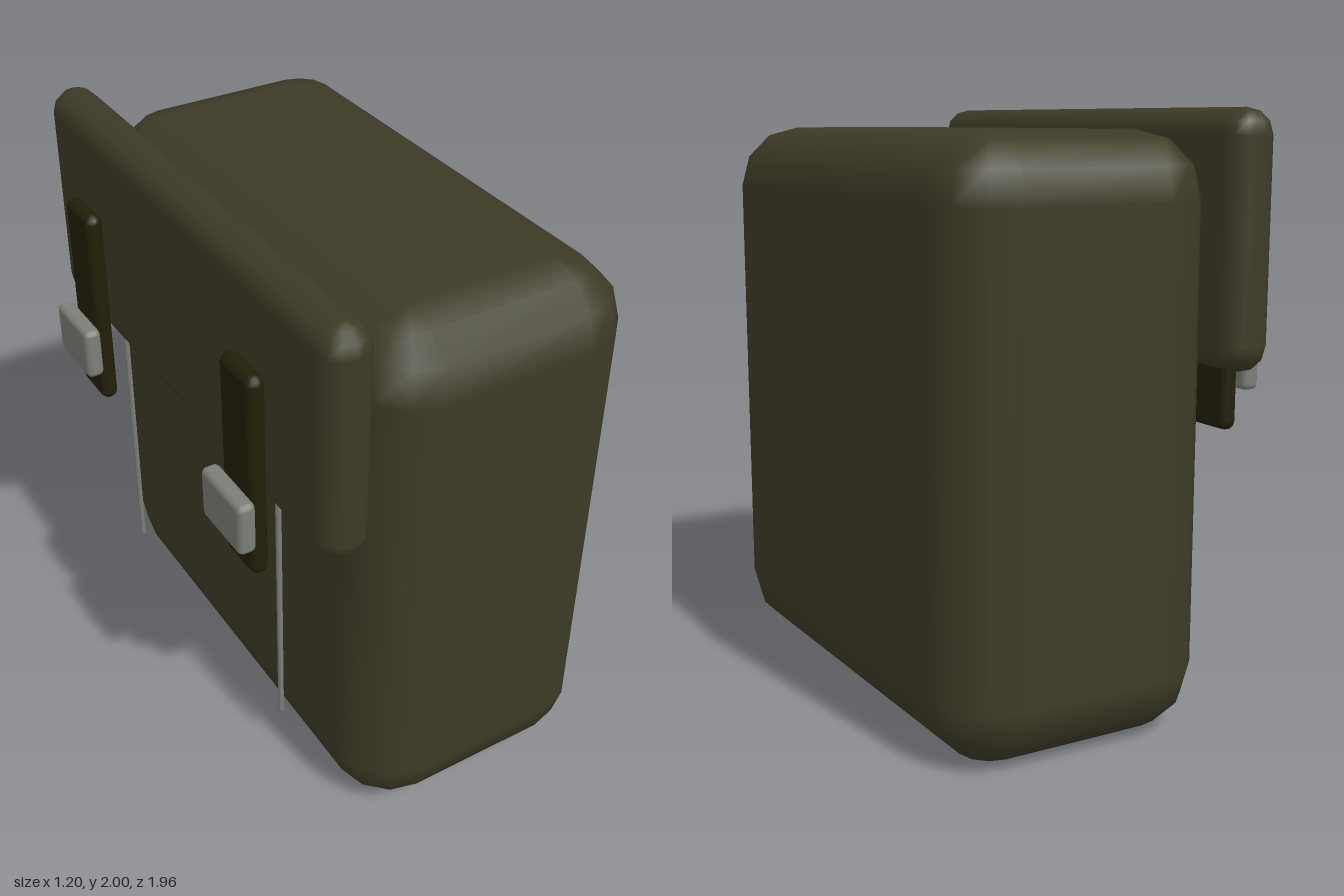
import * as THREE from 'three';

const STEPS = 3; // bevel segments per quarter turn

// Box with evenly rounded edges, given by its min and max corners
function bevelBox(min, max, r) {
  const pos = [], nor = [], idx = [];
  const mid = min.map((v, i) => (v + max[i]) / 2);
  const core = min.map((v, i) => (max[i] - v) / 2 - r);
  const cols = 4 * (STEPS + 1), rows = 2 * (STEPS + 1);
  for (let j = 0; j < rows; j++) {
    const top = j > STEPS;
    const lat = ((j - (top ? 1 : 0)) / STEPS - 1) * Math.PI / 2;
    for (let i = 0; i < cols; i++) {
      const quad = Math.floor(i / (STEPS + 1));
      const lon = (quad + (i % (STEPS + 1)) / STEPS) * Math.PI / 2;
      const n = [Math.cos(lat) * Math.cos(lon), Math.sin(lat), Math.cos(lat) * Math.sin(lon)];
      const s = [quad === 0 || quad === 3 ? 1 : -1, top ? 1 : -1, quad < 2 ? 1 : -1];
      for (let k = 0; k < 3; k++) pos.push(mid[k] + s[k] * core[k] + n[k] * r);
      nor.push(...n);
    }
  }
  for (let j = 0; j < rows - 1; j++) {
    for (let i = 0; i < cols; i++) {
      const a = j * cols + i, b = j * cols + (i + 1) % cols;
      idx.push(a, a + cols, b, b, a + cols, b + cols);
    }
  }
  // flat bottom and top
  const [p, q, s, t] = [0, 1, 2, 3].map(k => k * (STEPS + 1));
  const up = (rows - 1) * cols;
  idx.push(p, q, s, p, s, t);
  idx.push(up + p, up + s, up + q, up + p, up + t, up + s);
  const geo = new THREE.BufferGeometry();
  geo.setAttribute('position', new THREE.Float32BufferAttribute(pos, 3));
  geo.setAttribute('normal', new THREE.Float32BufferAttribute(nor, 3));
  geo.setIndex(idx);
  return geo;
}

export function createModel() {
  const canvas = new THREE.MeshStandardMaterial({ color: 0x3d3b26 });
  canvas.name = 'olive canvas';
  const leather = new THREE.MeshStandardMaterial({ color: 0x221f08 });
  leather.name = 'dark strap';
  const metal = new THREE.MeshStandardMaterial({ color: 0x7c7e78 });
  metal.name = 'grey metal';

  const model = new THREE.Group();
  model.name = 'satchel';
  const add = (name, geo, mat) => {
    const mesh = new THREE.Mesh(geo, mat);
    mesh.name = name;
    model.add(mesh);
    return mesh;
  };

  add('body', bevelBox([-0.345, 0, -0.89], [0.595, 1.935, 0.98], 0.215), canvas);
  add('flap', bevelBox([-0.47, 1.19, -0.98], [-0.3, 2, 0.91], 0.083), canvas);

  // strap, buckle and hanging cord on each side of the flap
  for (const [side, z] of [['back', -0.625], ['front', 0.485]]) {
    add(side + 'Strap', bevelBox([-0.54, 0.955, z - 0.097], [-0.477, 1.705, z + 0.097], 0.03), leather);
    add(side + 'Buckle', bevelBox([-0.6, 1.09, z - 0.125], [-0.537, 1.28, z + 0.125], 0.02), metal);
    const cord = add(side + 'Cord', new THREE.CylinderGeometry(0.01, 0.01, 1.06, 12), metal);
    cord.position.set(-0.393, 0.72, z);
  }
  return model;
}
